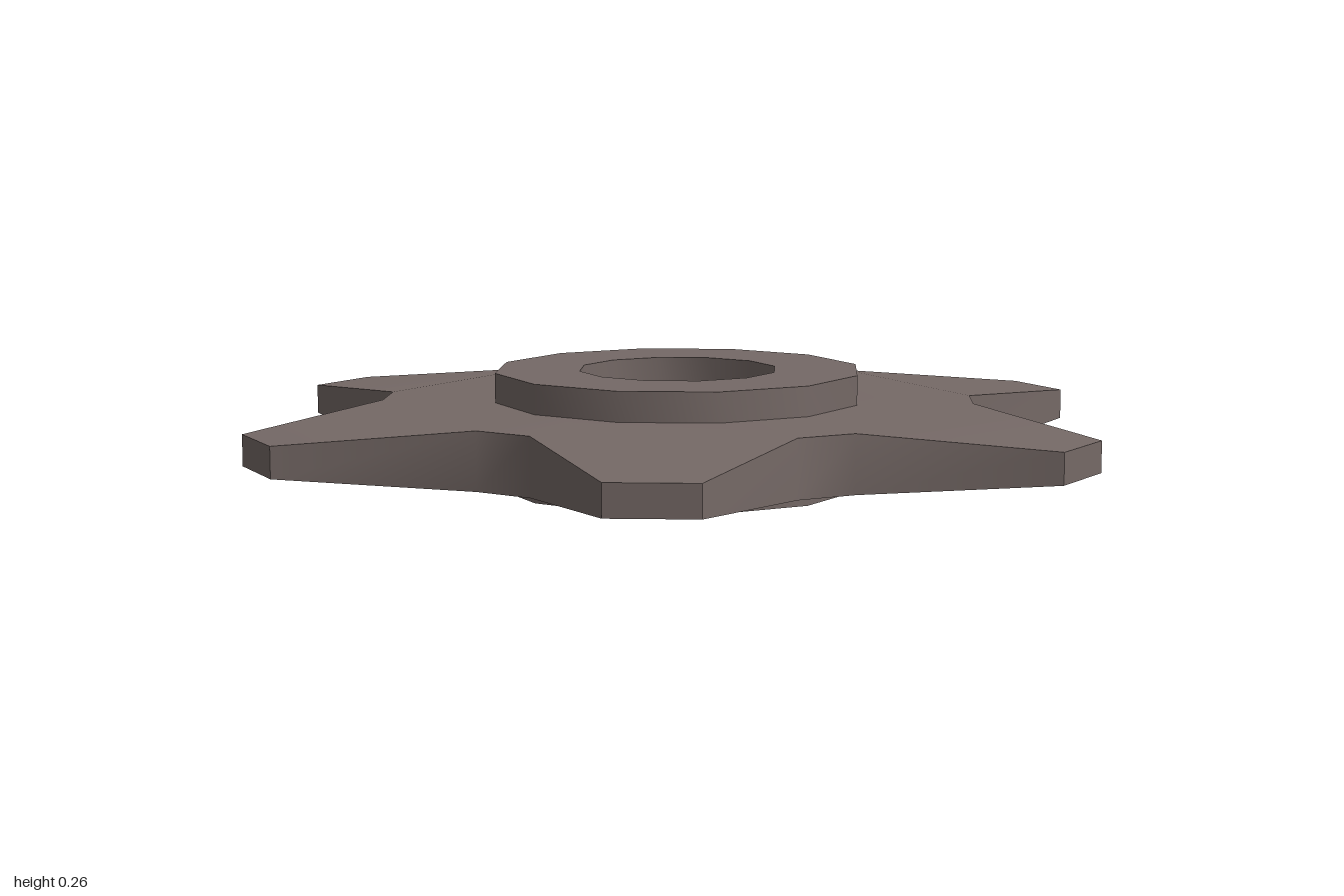
import * as THREE from 'three';
import { toCreasedNormals } from 'three/addons/utils/BufferGeometryUtils.js';

const TEETH = 6;
const MID = 0.1325; // mid-height of the wheel
const CREASE = THREE.MathUtils.degToRad(40);

// Flat toothed plate whose teeth thin towards their tips
function toothedPlate() {
  const pos = [];
  const point = (r, half, deg) => {
    const a = THREE.MathUtils.degToRad(deg);
    const x = r * Math.cos(a), z = -r * Math.sin(a);
    return { top: [x, MID + half, z], low: [x, MID - half, z] };
  };
  const quad = (a, b, c, d) => pos.push(...a, ...b, ...c, ...a, ...c, ...d);
  const faces = (a, b, c, d) => {
    quad(a.top, b.top, c.top, d.top);
    quad(d.low, c.low, b.low, a.low);
  };
  const wall = (p, q) => quad(p.low, q.low, q.top, p.top);
  const root = (deg) => point(0.678, 0.065, deg);
  const inner = (deg) => point(0.3, 0.065, deg);
  const tip = (deg) => point(1.0145, 0.035, deg);

  for (let k = 0; k < TEETH; k++) {
    const c = 15.1 + k * 60;
    const angles = [c - 24.1, c + 24.1, c + 35.9];
    const [r0, r1, r2] = angles.map(root);
    const [i0, i1, i2] = angles.map(inner);
    const t0 = tip(c - 5.45), t1 = tip(c + 5.45);
    faces(i0, r0, r1, i1); // body behind the tooth
    faces(r0, t0, t1, r1); // tapered tooth
    faces(i1, r1, r2, i2); // body behind the gap
    wall(r0, t0);
    wall(t0, t1);
    wall(t1, r1);
    wall(r1, r2);
  }
  const geo = new THREE.BufferGeometry();
  geo.setAttribute('position', new THREE.Float32BufferAttribute(pos, 3));
  return toCreasedNormals(geo, CREASE);
}

// Twelve-sided hub with a bore through it
function hubRing() {
  const profile = [[0.23, 0], [0.425, 0], [0.425, 0.265], [0.23, 0.265], [0.23, 0]]
    .map(([r, y]) => new THREE.Vector2(r, y));
  return toCreasedNormals(new THREE.LatheGeometry(profile, 12), CREASE);
}

export function createModel() {
  const steel = new THREE.MeshStandardMaterial({ color: 0x756966 });
  steel.name = 'dull steel';

  const group = new THREE.Group();
  group.name = 'sprocket';
  const add = (name, geometry) => {
    const mesh = new THREE.Mesh(geometry, steel);
    mesh.name = name;
    group.add(mesh);
  };
  add('toothedPlate', toothedPlate());
  add('hub', hubRing());
  return group;
}
